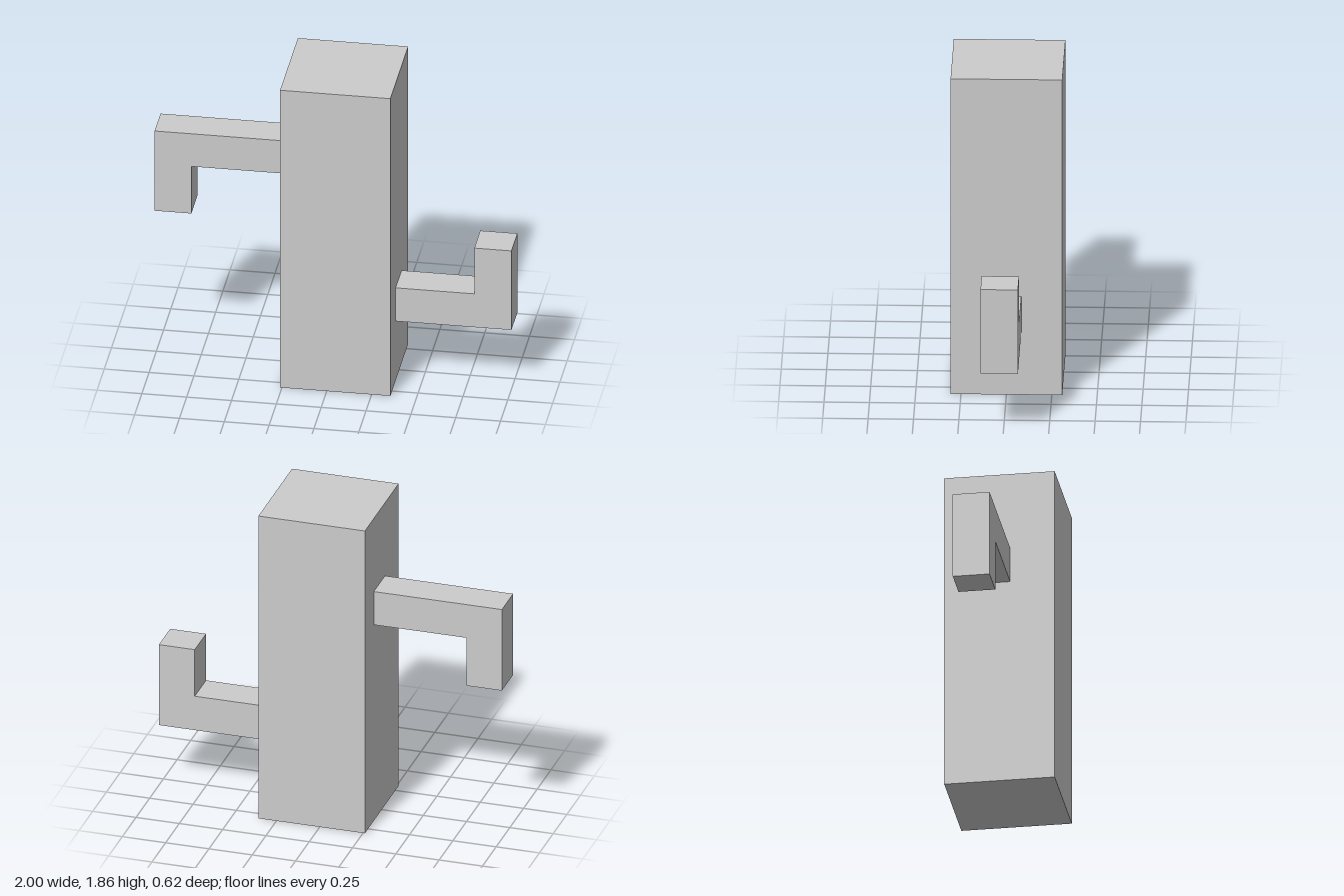
import * as THREE from 'three';

const material = new THREE.MeshStandardMaterial({ color: 0xcccccc, flatShading: true });

// Square-section L-shaped arm: runs out from the trunk wall, then turns up or down at its end.
function makeArm(name, { wallX, endX, nearY, cornerY, tipY, elbowX, zBack, zFront }) {
  const outline = new THREE.Shape([
    [wallX, cornerY], [endX, cornerY], [endX, tipY],
    [elbowX, tipY], [elbowX, nearY], [wallX, nearY],
  ].map(([x, y]) => new THREE.Vector2(x, y)));
  const geometry = new THREE.ExtrudeGeometry(outline, { depth: zFront - zBack, bevelEnabled: false });
  const arm = new THREE.Mesh(geometry, material);
  arm.position.z = zBack;
  arm.name = name;
  return arm;
}

export function createModel() {
  const model = new THREE.Group();
  model.name = 'cactus';

  // Square upright trunk
  const trunk = new THREE.Mesh(new THREE.BoxGeometry(0.615, 1.857, 0.615), material);
  trunk.position.set(0.047, 0.9285, 0);
  trunk.name = 'trunk';
  model.add(trunk);

  // High arm on the right, tip hanging down
  model.add(makeArm('rightArm', {
    wallX: -0.26, endX: -1, elbowX: -0.795,
    cornerY: 1.408, nearY: 1.204, tipY: 0.91, zBack: -0.145, zFront: 0.06,
  }));

  // Low arm on the left, tip pointing up
  model.add(makeArm('leftArm', {
    wallX: 0.354, endX: 1, elbowX: 0.793,
    cornerY: 0.37, nearY: 0.578, tipY: 0.864, zBack: -0.082, zFront: 0.124,
  }));

  return model;
}
